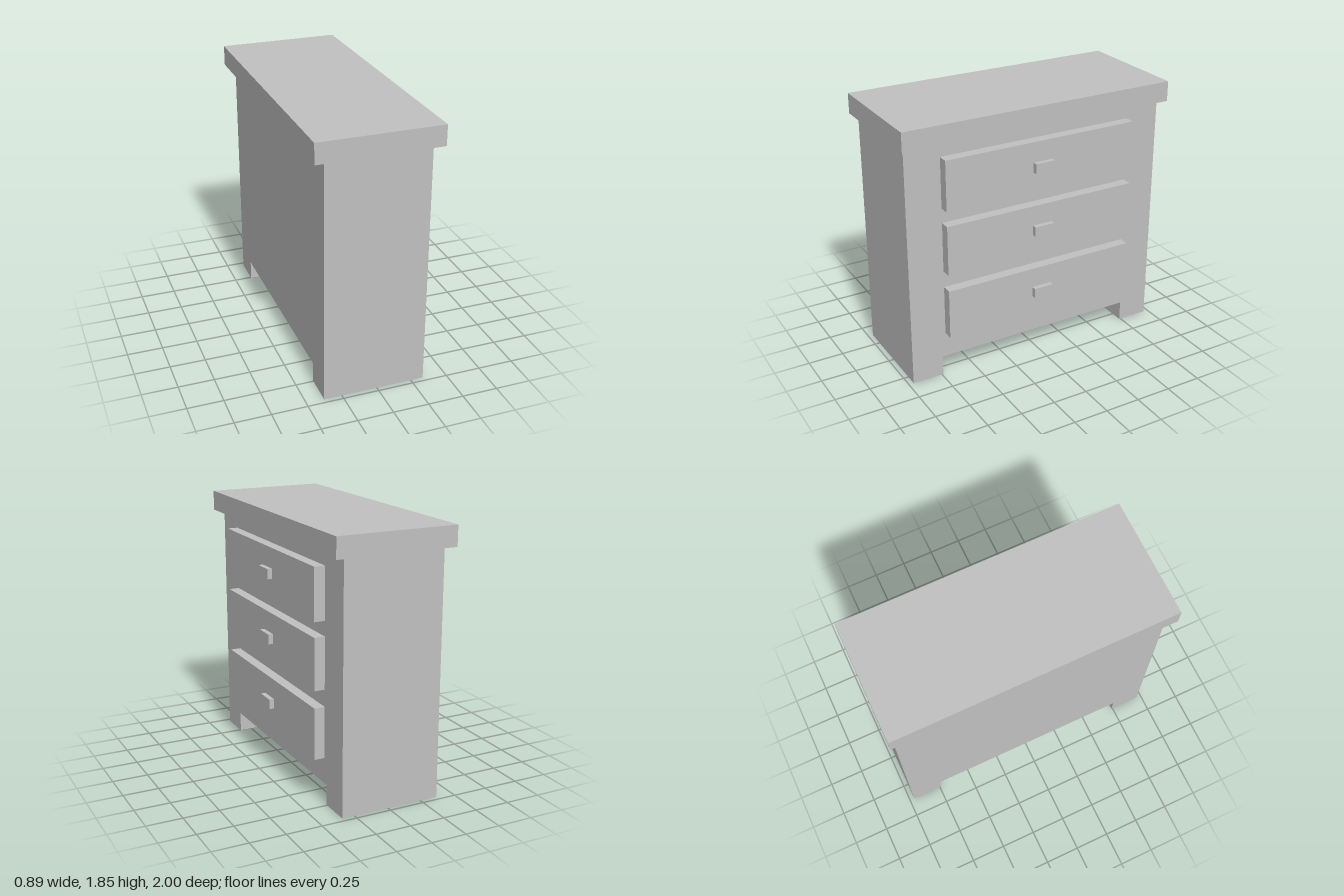
import * as THREE from 'three';

export function createModel() {
  const group = new THREE.Group();
  group.name = 'chestOfDrawers';

  const grey = new THREE.MeshStandardMaterial({ color: 0xc0c0c0 });
  grey.name = 'plain grey';

  // Box given by its limits in x and y and its half width in z
  function addBox(name, x0, x1, y0, y1, halfZ) {
    const mesh = new THREE.Mesh(new THREE.BoxGeometry(x1 - x0, y1 - y0, halfZ * 2), grey);
    mesh.position.set((x0 + x1) / 2, (y0 + y1) / 2, 0);
    mesh.name = name;
    group.add(mesh);
  }

  // Carcass with a wide cut-out between the feet, extruded through its depth
  const outline = new THREE.Shape([
    [-0.965, 0], [-0.74, 0], [-0.74, 0.143], [0.74, 0.143],
    [0.74, 0], [0.965, 0], [0.965, 1.708], [-0.965, 1.708],
  ].map(([x, y]) => new THREE.Vector2(x, y)));
  const carcassGeometry = new THREE.ExtrudeGeometry(outline, { depth: 0.713, bevelEnabled: false });
  carcassGeometry.rotateY(Math.PI / 2);
  const carcass = new THREE.Mesh(carcassGeometry, grey);
  carcass.position.x = -0.375;
  carcass.name = 'carcass';
  group.add(carcass);

  // Overhanging top board
  addBox('topBoard', -0.447, 0.408, 1.708, 1.85, 1);

  // Drawers on the +x side, each with a small block handle
  [0.502, 0.975, 1.433].forEach((y, i) => {
    addBox(`drawerFront${i + 1}`, 0.338, 0.412, y - 0.178, y + 0.178, 0.714);
    addBox(`drawerHandle${i + 1}`, 0.412, 0.446, y - 0.035, y + 0.035, 0.073);
  });

  return group;
}
